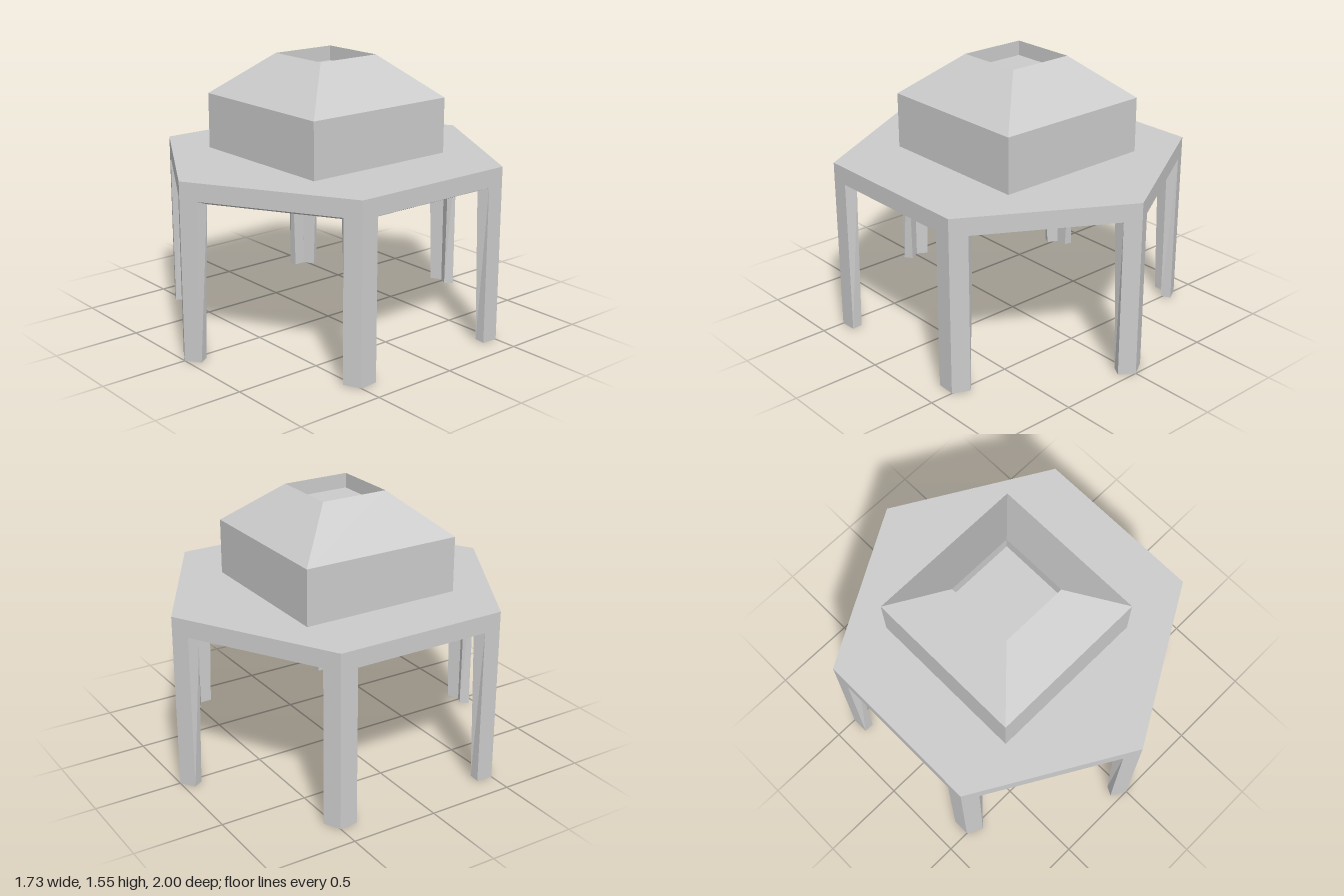
import * as THREE from 'three';

const material = new THREE.MeshStandardMaterial({ color: 0xcccccc, flatShading: true });

// Flat-shaded geometry from four-cornered faces
function quads(faces) {
  const position = [];
  for (const [a, b, c, d] of faces) for (const p of [a, b, c, a, c, d]) position.push(...p);
  const geometry = new THREE.BufferGeometry();
  geometry.setAttribute('position', new THREE.Float32BufferAttribute(position, 3));
  geometry.computeVertexNormals();
  return geometry;
}

function add(parent, name, geometry) {
  const mesh = new THREE.Mesh(geometry, material);
  mesh.name = name;
  parent.add(mesh);
  return mesh;
}

// One side of the table: an apron and two half legs, mitred at the corners
function sideFrame() {
  const outline = (half, footEdge, footY, topEdge, lintelY, topY, z) => [
    [-half, 0, z], [-footEdge, footY, z], [-topEdge, lintelY, z], [topEdge, lintelY, z],
    [footEdge, footY, z], [half, 0, z], [half, topY, z], [-half, topY, z],
  ];
  const outer = outline(0.5, 0.4, 0.005, 0.4, 0.9, 1, 0.866);
  const inner = outline(0.467, 0.398, 0.01, 0.371, 0.875, 0.98, 0.809);
  inner[0][1] = inner[5][1] = 0.01;
  const faces = [];
  for (const ids of [[0, 1, 2, 7], [7, 2, 3, 6], [3, 4, 5, 6]]) {
    faces.push(ids.map(i => outer[i]));
    faces.push(ids.map(i => inner[i]).reverse());
  }
  // Feet, jambs and underside of the apron
  for (let i = 0; i < 5; i++) faces.push([outer[i], inner[i], inner[i + 1], outer[i + 1]]);
  return quads(faces);
}

// Rectangular box with a hipped roof and a sunken square opening
function hippedBox() {
  const ring = (x0, x1, z0, z1, y) => [[x0, y, z1], [x1, y, z1], [x1, y, z0], [x0, y, z0]];
  const rings = [
    ring(-0.497, 0.445, -0.47, 0.465, 1),
    ring(-0.497, 0.445, -0.47, 0.465, 1.315),
    ring(-0.22, 0.173, -0.2, 0.195, 1.55),
    ring(-0.22, 0.173, -0.2, 0.195, 1.465),
  ];
  const faces = [rings[3]];
  for (let r = 0; r < 3; r++) {
    for (let i = 0; i < 4; i++) {
      const j = (i + 1) % 4;
      faces.push([rings[r][i], rings[r][j], rings[r + 1][j], rings[r + 1][i]]);
    }
  }
  return quads(faces);
}

export function createModel() {
  const model = new THREE.Group();
  model.name = 'hexagonalTable';

  // Top surface and ceiling underneath
  const hexagon = radius => new THREE.CircleGeometry(radius, 6, Math.PI / 2);
  add(model, 'tableTop', hexagon(1).rotateX(-Math.PI / 2).translate(0, 1, 0));
  add(model, 'tableUnderside', hexagon(0.934).rotateX(Math.PI / 2).translate(0, 0.98, 0));

  // Six legged sides
  const side = sideFrame();
  for (let k = 0; k < 6; k++) {
    add(model, 'sideFrame' + (k + 1), side).rotation.y = Math.PI / 2 + k * Math.PI / 3;
  }

  add(model, 'hippedBox', hippedBox());
  return model;
}
